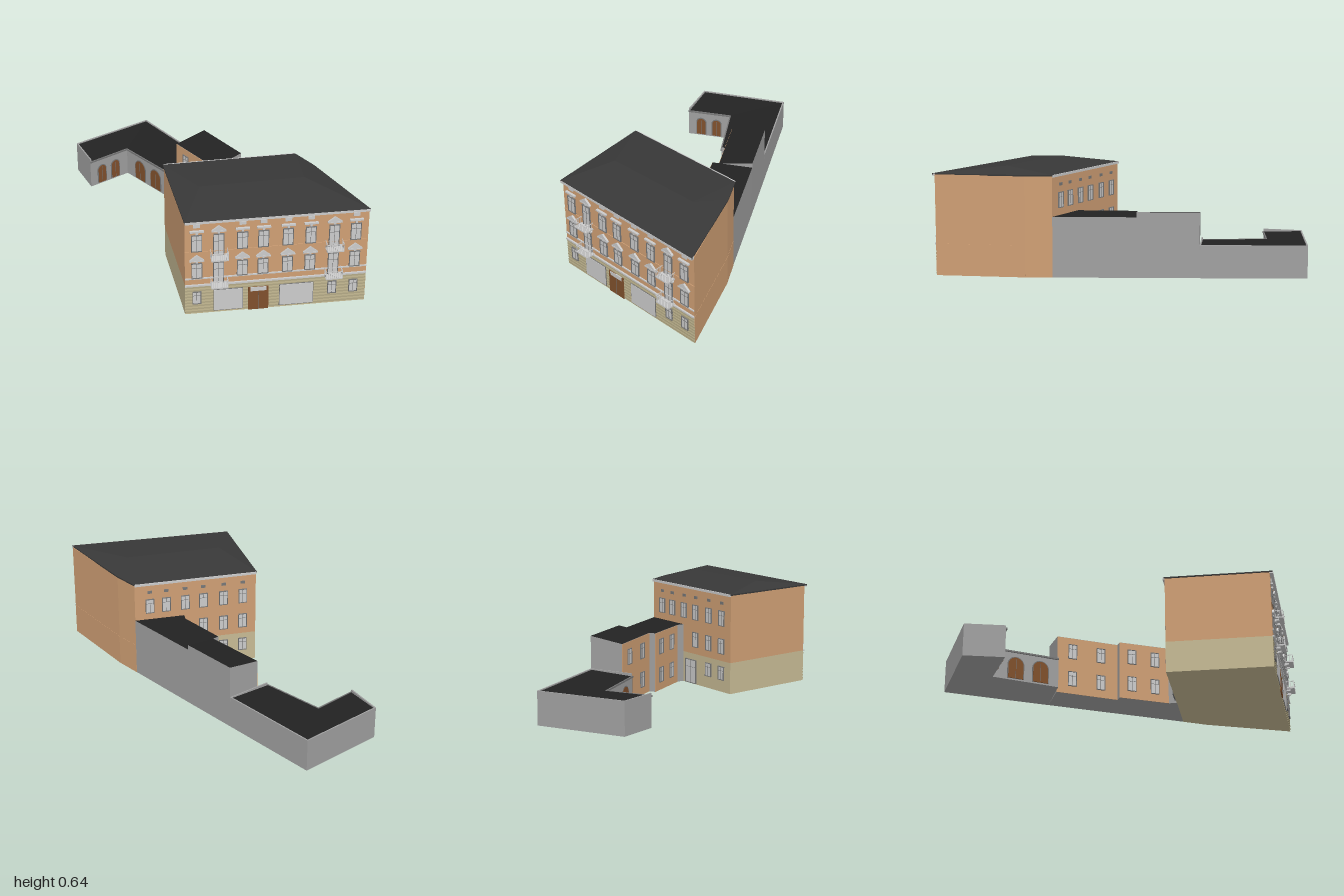
import * as THREE from 'three';

const mat = (color, side = THREE.FrontSide) => new THREE.MeshStandardMaterial({ color, side, flatShading: true });
const M = {
  grey: mat(0xcccccc), tan: mat(0xcf9f74), stone: mat(0xc6ba94), course: mat(0xb3a985), plain: mat(0xa0a0a0),
  wood: mat(0x80502c), roof: mat(0x383838), flat: mat(0x222222), trim: mat(0x777777),
};

function add(parent, name, geo, material, x = 0, y = 0, z = 0) {
  const m = new THREE.Mesh(geo, material);
  m.name = name;
  m.position.set(x, y, z);
  parent.add(m);
  return m;
}

function faces(tris) {
  const g = new THREE.BufferGeometry();
  g.setAttribute('position', new THREE.Float32BufferAttribute(tris.flat(2), 3));
  g.computeVertexNormals();
  return g;
}

// box standing between x0..x1, y0..y1, projecting by d from the wall plane
const block = (p, name, x0, x1, y0, y1, d, material, z = 0) =>
  add(p, name, new THREE.BoxGeometry(x1 - x0, y1 - y0, d), material, (x0 + x1) / 2, (y0 + y1) / 2, z + d / 2);

// prism over an [x, z] outline, with one top height per corner
function prism(parent, name, pts, y0, tops, wallMat, topMat) {
  const g = new THREE.Group();
  g.name = name;
  parent.add(g);
  const lo = pts.map(([x, z]) => [x, y0, z]);
  const hi = pts.map(([x, z], i) => [x, Array.isArray(tops) ? tops[i] : tops, z]);
  const walls = [];
  pts.forEach((_, i) => {
    const j = (i + 1) % pts.length;
    walls.push([lo[i], lo[j], hi[j]], [lo[i], hi[j], hi[i]]);
  });
  const cap = THREE.ShapeUtils.triangulateShape(pts.map(([x, z]) => new THREE.Vector2(x, -z)), []);
  cap.forEach(([a, b, c]) => walls.push([lo[a], lo[c], lo[b]]));
  add(g, name + 'Walls', faces(walls), wallMat);
  add(g, name + 'Top', faces(cap.map((t) => t.map((i) => hi[i]))), topMat);
  return g;
}

// group whose x runs along the wall from a to b and whose z points outward
function wallFrame(parent, name, a, b) {
  const g = new THREE.Group();
  g.name = name;
  g.position.set(a[0], 0, a[1]);
  g.rotation.y = Math.atan2(a[1] - b[1], b[0] - a[0]);
  g.userData.length = Math.hypot(b[0] - a[0], b[1] - a[1]);
  parent.add(g);
  return g;
}

// pane with a frame, a mullion and a transom
function windowUnit(p, x, y0, y1, w) {
  const h = w / 2, t = 0.004;
  block(p, 'windowPane', x - h, x + h, y0, y1, 0.004, M.grey);
  for (const s of [-1, 1]) block(p, 'windowJamb', x + s * h - t / 2, x + s * h + t / 2, y0, y1, 0.008, M.trim);
  for (const y of [y0, y1]) block(p, 'windowRail', x - h - t / 2, x + h + t / 2, y - t / 2, y + t / 2, 0.008, M.trim);
  block(p, 'mullion', x - 0.001, x + 0.001, y0, y1, 0.006, M.trim);
  block(p, 'transom', x - h, x + h, y0 + (y1 - y0) * 0.68, y0 + (y1 - y0) * 0.68 + 0.002, 0.006, M.trim);
}

// triangular gable on a ledge above a window
function pediment(p, x, y, w, h) {
  block(p, 'windowLedge', x - w / 2, x + w / 2, y, y + 0.007, 0.014, M.grey);
  const s = new THREE.Shape([[-w / 2, 0], [w / 2, 0], [0, h]].map(([a, b]) => new THREE.Vector2(a, b)));
  add(p, 'pediment', new THREE.ExtrudeGeometry(s, { depth: 0.012, bevelEnabled: false }), M.grey, x, y + 0.007, 0);
}

function balcony(p, x, y) {
  const g = new THREE.Group();
  g.name = 'balcony';
  g.position.set(x, y, 0);
  p.add(g);
  const w = 0.046, d = 0.056, h = 0.05, t = 0.003;
  block(g, 'balconySlab', -w, w, 0, 0.008, d, M.grey);
  block(g, 'frontRail', -w, w, h - t, h, t, M.grey, d - t);
  for (const s of [-1, 1]) {
    block(g, 'sideRail', s * w - t / 2, s * w + t / 2, h - t, h, d, M.grey);
    block(g, 'bracket', s * 0.03 - 0.004, s * 0.03 + 0.004, -0.012, 0, 0.03, M.grey);
    for (let i = 1; i < 5; i++) block(g, 'sideBaluster', s * w - 0.001, s * w + 0.001, 0, h, 0.002, M.grey, (d * i) / 5);
  }
  for (let i = 0; i <= 8; i++) {
    const bx = -w + (2 * w * i) / 8;
    block(g, 'frontBaluster', bx - 0.001, bx + 0.001, 0, h, 0.002, M.grey, d - 0.003);
  }
}

// round-headed wooden door with a surround
function archDoor(p, x, w, h) {
  const arch = (r, top) => {
    const s = new THREE.Shape();
    s.moveTo(-r, 0);
    s.lineTo(r, 0);
    s.lineTo(r, top - r);
    s.absarc(0, top - r, r, 0, Math.PI);
    s.lineTo(-r, 0);
    return s;
  };
  const opt = (depth) => ({ depth, bevelEnabled: false, curveSegments: 10 });
  add(p, 'archSurround', new THREE.ExtrudeGeometry(arch(w / 2 + 0.006, h + 0.006), opt(0.004)), M.trim, x, 0.01, 0);
  add(p, 'archDoor', new THREE.ExtrudeGeometry(arch(w / 2, h), opt(0.006)), M.wood, x, 0.01, 0);
  block(p, 'doorSeam', x - 0.001, x + 0.001, 0.01, h, 0.008, M.trim);
}

function frontFacade(root, a, b) {
  const f = wallFrame(root, 'frontFacade', a, b), L = f.userData.length;
  const at = (x) => x - a[0];
  for (let i = 0; i < 9; i++) block(f, 'stoneCourse', 0, L, 0.008 + i * 0.02, 0.018 + i * 0.02, 0.002, M.course);
  block(f, 'lowerStringCourse', 0, L, 0.184, 0.194, 0.01, M.grey);
  block(f, 'sillCourse', 0, L, 0.23, 0.237, 0.007, M.grey);
  block(f, 'upperSillCourse', 0, L, 0.403, 0.407, 0.004, M.tan);
  block(f, 'cornice', 0, L, 0.592, 0.606, 0.02, M.grey);
  [-0.195, -0.075, 0.055, 0.17, 0.305, 0.43, 0.56, 0.68].forEach((wx, i) => {
    const x = at(wx), tall = i === 1 || i === 6;
    windowUnit(f, x, tall ? 0.192 : 0.237, 0.332, 0.055);
    windowUnit(f, x, tall ? 0.372 : 0.41, 0.512, 0.055);
    pediment(f, x, 0.348, 0.08, 0.032);
    if (tall) {
      pediment(f, x, 0.53, 0.08, 0.03);
      balcony(f, x, 0.19);
      balcony(f, x, 0.368);
    } else {
      block(f, 'upperLedge', x - 0.038, x + 0.038, 0.533, 0.543, 0.014, M.grey);
      block(f, 'atticWindow', x - 0.018, x + 0.018, 0.56, 0.58, 0.005, M.grey);
    }
    for (const y of [0.338, 0.519]) block(f, 'keystone', x - 0.006, x + 0.006, y, y + 0.014, 0.01, M.grey);
  });
  // ground floor openings
  for (const x of [-0.195, 0.56, 0.68]) windowUnit(f, at(x), 0.068, 0.145, 0.046);
  for (const [l, r] of [[-0.1, 0.058], [0.267, 0.453]]) {
    block(f, 'shopFrame', at(l - 0.003), at(r + 0.003), 0.012, 0.152, 0.005, M.trim);
    block(f, 'shopWindow', at(l), at(r), 0.016, 0.149, 0.007, M.grey);
  }
  block(f, 'entranceDoor', at(0.09), at(0.204), 0, 0.149, 0.006, M.wood);
  block(f, 'doorFanlight', at(0.102), at(0.192), 0.123, 0.149, 0.008, M.grey);
  block(f, 'doorSeam', at(0.146), at(0.148), 0, 0.122, 0.008, M.trim);
}

function backFacade(root, a, b) {
  const f = wallFrame(root, 'backFacade', a, b), L = f.userData.length;
  block(f, 'backCornice', 0, L, 0.592, 0.606, 0.012, M.grey);
  [0.367, 0.265, 0.147, 0.033, -0.095, -0.217].forEach((wx, i) => {
    const x = a[0] - wx;
    windowUnit(f, x, 0.405, 0.495, 0.05);
    block(f, 'atticVent', x - 0.014, x + 0.014, 0.535, 0.552, 0.005, M.trim);
    if (i > 2) windowUnit(f, x, 0.235, 0.325, 0.05);
    if (i > 3) windowUnit(f, x, 0.075, 0.155, 0.05);
  });
  windowUnit(f, a[0] - 0.075, 0.005, 0.15, 0.1);
}

export function createModel() {
  const root = new THREE.Group();
  root.name = 'townHouse';

  // main house: stone ground floor under plastered upper floors
  const house = [[-0.26, 0.94], [0.75, 0.94], [0.54, 0.45], [0.46, 0.31], [-0.3, 0.33]];
  prism(root, 'groundFloor', house, 0, 0.19, M.stone, M.stone);
  prism(root, 'upperFloors', house, 0.19, 0.6, M.tan, M.tan);
  for (const i of [1, 2]) {
    const f = wallFrame(root, 'sideWall', house[i], house[i + 1]);
    block(f, 'sidePlaster', 0, f.userData.length, 0, 0.19, 0.001, M.tan);
  }
  frontFacade(root, house[0], house[1]);
  backFacade(root, house[3], house[4]);

  // hipped roof
  const e = [[-0.262, 0.958], [0.752, 0.958], [0.545, 0.45], [0.465, 0.305], [-0.305, 0.325]];
  prism(root, 'eaves', e, 0.598, 0.606, M.roof, M.roof);
  const [p, q, r, s, t] = e.map(([x, z]) => [x, 0.606, z]);
  const r0 = [-0.14, 0.64, 0.65], r1 = [0.45, 0.64, 0.63];
  add(root, 'hippedRoof', faces([[p, q, r1], [p, r1, r0], [q, r, r1], [r, s, r1], [s, t, r0], [s, r0, r1], [t, p, r0]]), M.roof);

  // rear wing in two heights, plastered towards the yard
  const wingA = [[0.155, 0.32], [0.46, 0.31], [0.22, -0.12], [0.01, 0], [0.155, 0.27]];
  const wingB = [[0.045, -0.02], [0.22, -0.12], [0.04, -0.44], [-0.145, -0.345]];
  prism(root, 'rearWing', wingA, 0, 0.36, M.plain, M.flat);
  prism(root, 'raisedWing', wingB, 0, [0.36, 0.39, 0.39, 0.36], M.plain, M.flat);
  for (const [a, b] of [[wingA[3], wingA[4]], [wingB[3], wingB[0]]]) {
    const f = wallFrame(root, 'yardWall', a, b), L = f.userData.length;
    block(f, 'yardPlaster', 0, L, 0, 0.358, 0.002, M.tan);
    for (const u of [0.25, 0.72]) for (const y of [0.05, 0.225]) windowUnit(f, L * u, y, y + 0.09, 0.05);
  }

  // low outbuilding with raised rim and arched doors
  const low = [[-0.21, -0.32], [0.04, -0.44], [-0.27, -0.99], [-0.745, -0.735], [-0.675, -0.51], [-0.43, -0.65]];
  prism(root, 'outbuilding', low, 0, [0.18, 0.19, 0.19, 0.19, 0.18, 0.18], M.plain, M.flat);
  low.forEach((a, i) => {
    const f = wallFrame(root, 'outbuildingEdge', a, low[(i + 1) % 6]), L = f.userData.length;
    if (i < 4) block(f, 'roofRim', 0, L, 0.17, 0.196, 0.008, M.plain, -0.008);
    else {
      block(f, 'gutter', 0, L, 0.172, 0.182, 0.008, M.trim);
      const w = i === 4 ? 0.055 : 0.09;
      for (const u of i === 4 ? [0.3, 0.66] : [0.34, 0.72]) archDoor(f, L * u, w, i === 4 ? 0.118 : 0.13);
    }
  });
  return root;
}
